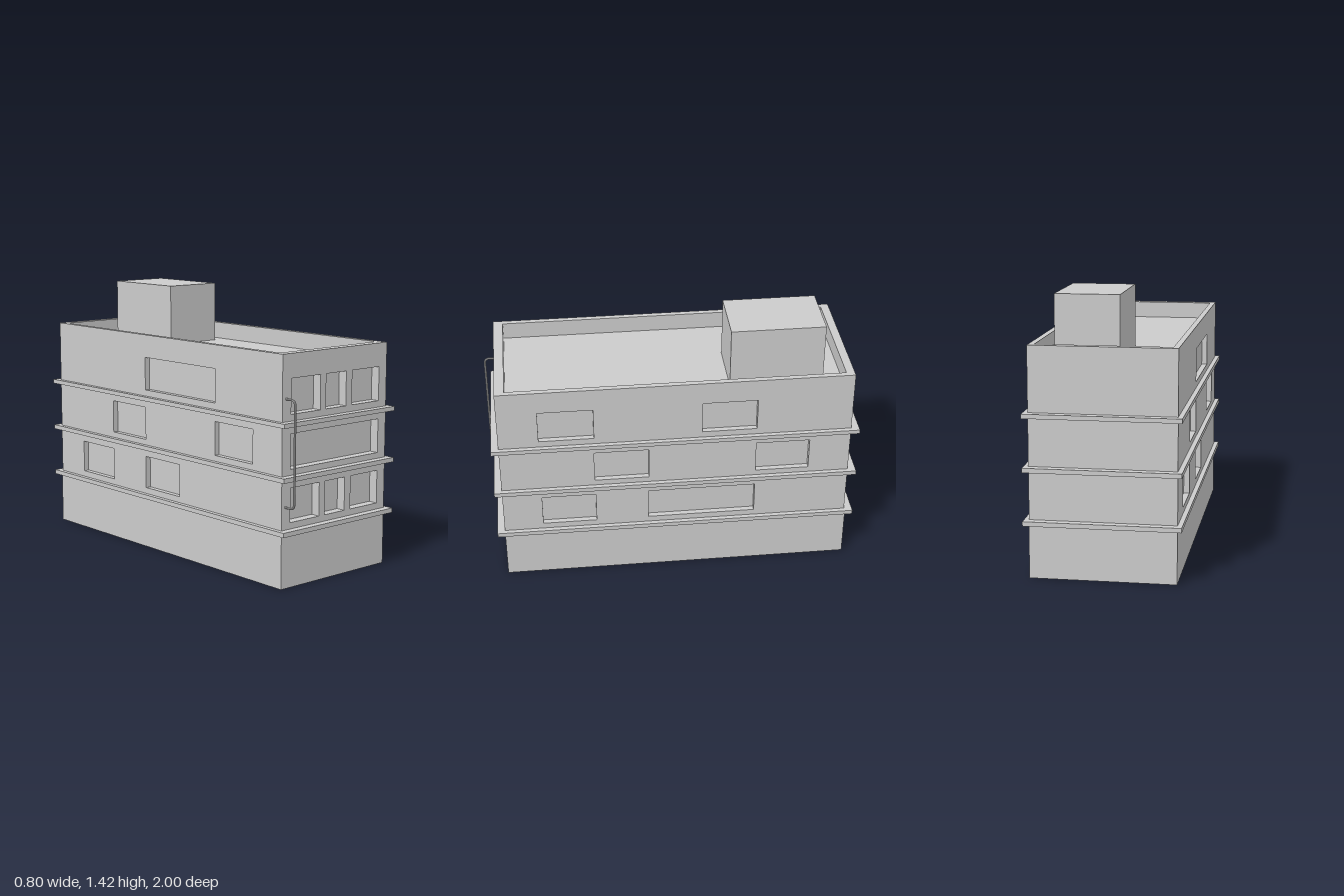
import * as THREE from 'three';

const material = new THREE.MeshStandardMaterial({ color: 0xcccccc, side: THREE.DoubleSide, flatShading: true });

// Footprints as [x0, x1, z0, z1]
const WALL = [-0.375, 0.375, -0.957, 0.93];
const GROUND = [-0.375, 0.375, -0.964, 0.93];
const LEDGE = [-0.4, 0.4, -1.0, 0.97];
const PARAPET = [-0.345, 0.345, -0.912, 0.878];

// Storeys and ledges as [y0, y1]; window rows by storey
const STOREYS = [[0.303, 0.553], [0.577, 0.827], [0.85, 1.187]];
const LEDGES = [[0.279, 0.303], [0.553, 0.577], [0.827, 0.85]];
const ROWS = [[0.336, 0.512], [0.608, 0.787], [0.884, 1.063]];
const ROOF_Y = 1.095;

// Windows per storey, as spans along x (front) or z (sides)
const three = [[-0.315, -0.112], [-0.072, 0.073], [0.117, 0.318]];
const FRONT = [three, [[-0.315, 0.318]], three];
const RIGHT_SIDE = [
  [[0.425, 0.717], [-0.445, 0.14]],
  [[0.135, 0.428], [-0.735, -0.445]],
  [[0.425, 0.717], [-0.445, -0.152]],
];
const LEFT_SIDE = [
  [[-0.735, -0.445], [-0.152, 0.137]],
  [[-0.445, -0.152], [0.427, 0.717]],
  [[-0.152, 0.427]],
];

function add(parent, name, geometry) {
  const mesh = new THREE.Mesh(geometry, material);
  mesh.name = name;
  parent.add(mesh);
  return mesh;
}

// Box with some faces left out (0..5 = +x, -x, +y, -y, +z, -z)
function openBox(w, h, d, dropped) {
  const g = new THREE.BoxGeometry(w, h, d);
  const index = Array.from(g.index.array).filter((_, i) => !dropped.includes(Math.floor(i / 6)));
  g.setIndex(index);
  g.clearGroups();
  return g;
}

function footprintBox([x0, x1, z0, z1], y0, y1, dropped) {
  return openBox(x1 - x0, y1 - y0, z1 - z0, dropped)
    .translate((x0 + x1) / 2, (y0 + y1) / 2, (z0 + z1) / 2);
}

function rect(target, a0, a1, b0, b1) {
  target.moveTo(a0, b0).lineTo(a1, b0).lineTo(a1, b1).lineTo(a0, b1).closePath();
  return target;
}

// Flat horizontal frame between two footprints
function ring([x0, x1, z0, z1], [i0, i1, j0, j1], y) {
  const shape = rect(new THREE.Shape(), x0, x1, -z1, -z0);
  shape.holes.push(rect(new THREE.Path(), i0, i1, -j1, -j0));
  return new THREE.ShapeGeometry(shape).rotateX(-Math.PI / 2).translate(0, y, 0);
}

// Upper wall of three storeys with recessed windows, facing local +z
function facade(name, u0, u1, windows, depth) {
  const group = new THREE.Group();
  group.name = name;
  STOREYS.forEach(([y0, y1], s) => {
    const shape = rect(new THREE.Shape(), u0, u1, y0, y1);
    const [w0, w1] = ROWS[s];
    for (const [a, b] of windows[s] || []) {
      shape.holes.push(rect(new THREE.Path(), a, b, w0, w1));
      add(group, 'windowRecess', openBox(b - a, w1 - w0, depth, [4]))
        .position.set((a + b) / 2, (w0 + w1) / 2, -depth / 2);
    }
    add(group, 'storeyWall', new THREE.ShapeGeometry(shape));
  });
  return group;
}

export function createModel() {
  const model = new THREE.Group();
  model.name = 'building';

  // Ground storey, open underneath
  add(model, 'groundStorey', footprintBox(GROUND, 0, LEDGES[0][0], [2, 3]));

  // Upper walls
  const front = facade('frontWall', WALL[0], WALL[1], FRONT, 0.05);
  front.position.z = WALL[3];
  const back = facade('backWall', -WALL[1], -WALL[0], [], 0);
  back.rotation.y = Math.PI;
  back.position.z = WALL[2];
  const mirrored = RIGHT_SIDE.map(row => row.map(([a, b]) => [-b, -a]));
  const plusX = facade('leftWall', -WALL[3], -WALL[2], mirrored, 0.03);
  plusX.rotation.y = Math.PI / 2;
  plusX.position.x = WALL[1];
  const minusX = facade('rightWall', WALL[2], WALL[3], LEFT_SIDE, 0.03);
  minusX.rotation.y = -Math.PI / 2;
  minusX.position.x = WALL[0];
  model.add(front, back, plusX, minusX);

  // Ledges, hollow towards the inside
  for (const [y0, y1] of LEDGES) {
    const ledge = new THREE.Group();
    ledge.name = 'ledge';
    add(ledge, 'ledgeEdge', footprintBox(LEDGE, y0, y1, [2, 3]));
    add(ledge, 'ledgeTop', ring(LEDGE, WALL, y1));
    add(ledge, 'ledgeUnderside', ring(LEDGE, WALL, y0).scale(1, -1, 1).translate(0, 2 * y0, 0));
    model.add(ledge);
  }

  // Sunken roof inside the parapet
  const top = STOREYS[2][1];
  add(model, 'parapetTop', ring(WALL, PARAPET, top));
  add(model, 'sunkenRoof', footprintBox(PARAPET, ROOF_Y, top, [2]));

  // Roof house
  add(model, 'roofHouse', footprintBox([-0.065, 0.267, -0.807, -0.308], ROOF_Y, 1.425, [3]));

  // Pipe on the front wall, with rounded bends
  const v = (y, z) => new THREE.Vector3(-0.35, y, z);
  const [low, high, out, r] = [0.419, 0.964, 0.994, 0.028];
  const path = new THREE.CurvePath();
  path.add(new THREE.LineCurve3(v(high, WALL[3]), v(high, out - r)));
  path.add(new THREE.QuadraticBezierCurve3(v(high, out - r), v(high, out), v(high - r, out)));
  path.add(new THREE.LineCurve3(v(high - r, out), v(low + r, out)));
  path.add(new THREE.QuadraticBezierCurve3(v(low + r, out), v(low, out), v(low, out - r)));
  path.add(new THREE.LineCurve3(v(low, out - r), v(low, WALL[3])));
  add(model, 'pipe', new THREE.TubeGeometry(path, 90, 0.006, 8, false));

  return model;
}
